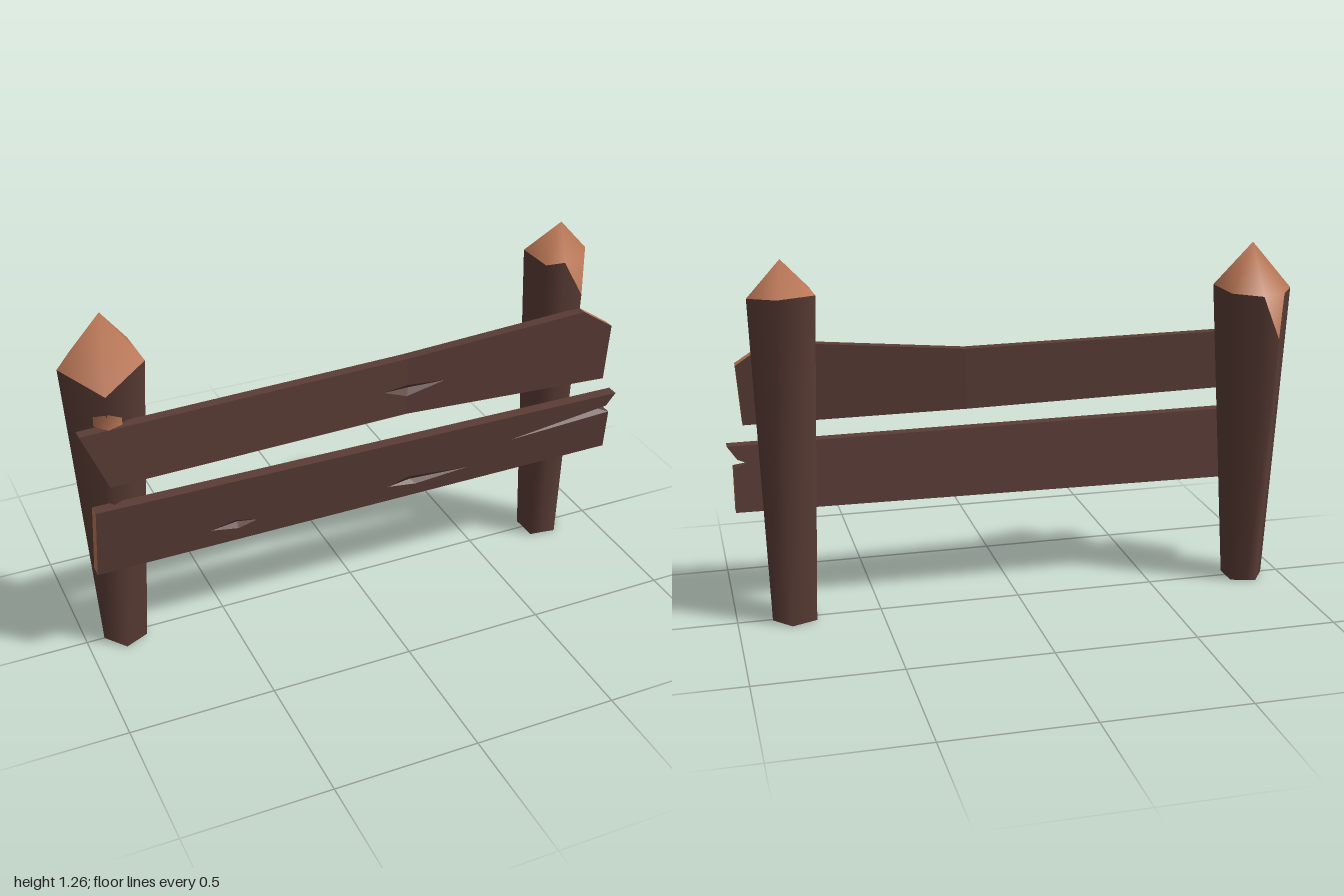
import * as THREE from 'three';

const bark = new THREE.MeshStandardMaterial({ color: 0x5a3c35 });
bark.name = 'darkBark';
const wood = new THREE.MeshStandardMaterial({ color: 0xba7756 });
wood.name = 'cutWood';

function makeMesh(name, points, index, material) {
  const g = new THREE.BufferGeometry();
  g.setAttribute('position', new THREE.Float32BufferAttribute(points.flat(), 3));
  if (index) g.setIndex(index);
  g.computeVertexNormals();
  const m = new THREE.Mesh(g, material);
  m.name = name;
  return m;
}

// Tapered post; ring corners are [x, z, topHeight, isChip], a chip corner is cut low
function makePost(name, ring, [cx, cz], taper, apex) {
  const n = ring.length;
  const top = ring.map(([x, z, y]) => [x, y, z]);
  const base = ring.map(([x, z]) => [cx + (x - cx) * taper, 0, cz + (z - cz) * taper]);
  const sides = [];
  const under = [];
  const tip = [];
  for (let i = 0; i < n; i++) {
    const j = (i + 1) % n;
    sides.push(i, j, n + j, i, n + j, n + i);
    under.push(n, j, i);
    if (ring[i][3]) {
      const h = (i + n - 1) % n;
      tip.push(h, i, j, h, j, n);
    } else if (!ring[j][3]) tip.push(i, j, n);
  }
  const post = new THREE.Group();
  post.name = name;
  post.add(
    makeMesh('postBark', [...base, ...top], sides, bark),
    makeMesh('postUnderside', [...base, [cx, 0, cz]], under, bark),
    makeMesh('pointedTip', [...top, apex], tip, wood)
  );
  return post;
}

// Plank from flat panels of [x, y, depth] points, placed on a front surface z = front(x, y)
function makePlank(name, { outline, woodEdges, panels, pits, backPanels, front, thickness }) {
  const faces = [];
  const ends = [];
  const f = ([x, y, d = 0]) => [x, y, front(x, y) - d];
  const b = ([x, y]) => [x, y, front(x, y) - thickness];
  const v2 = (ps) => ps.map(([x, y]) => new THREE.Vector2(x, y));

  function fill(contour, holes, place, facing) {
    const all = [contour, ...holes].flat();
    for (const t of THREE.ShapeUtils.triangulateShape(v2(contour), holes.map(v2))) {
      const [p, q, r] = t.map((i) => all[i]);
      const turn = (q[0] - p[0]) * (r[1] - p[1]) - (q[1] - p[1]) * (r[0] - p[0]);
      faces.push(...(turn * facing > 0 ? [p, q, r] : [p, r, q]).map(place));
    }
  }

  panels.forEach(({ contour, holes = [] }) => fill(contour, holes, f, 1));
  backPanels.forEach((p) => fill(p, [], b, -1));

  // Gouges sink to one deep point
  pits.forEach(({ ring, deep }) => ring.forEach((p, i) => {
    fill([p, ring[(i + 1) % ring.length], deep], [], f, 1);
  }));

  // Edge walls, with bare wood at the sawn ends
  outline.forEach((p, i) => {
    const q = outline[(i + 1) % outline.length];
    (woodEdges.includes(i) ? ends : faces).push(b(p), b(q), f(q), b(p), f(q), f(p));
  });

  const plank = new THREE.Group();
  plank.name = name;
  plank.add(makeMesh('plankBoard', faces, null, bark), makeMesh('plankEnds', ends, null, wood));
  return plank;
}

function upperPlank() {
  const [bl, bm, br, r, peak, tm, tl] = [
    [-0.9, 0.7], [0.17, 0.695], [0.94, 0.68], [0.955, 0.89], [0.84, 0.965], [0.17, 0.91], [-0.985, 0.91]
  ];
  const gouge = [[0.08, 0.8], [0.17, 0.765], [0.31, 0.8], [0.17, 0.808]];
  const [gl, gb, gr, gt] = gouge;
  return makePlank('upperPlank', {
    outline: [bl, bm, br, r, peak, tm, tl],
    woodEdges: [2, 3, 6],
    panels: [
      { contour: [bl, bm, gb, gl, gt, tm, tl] },
      { contour: [bm, br, r, peak, tm, gt, gr, gb] }
    ],
    pits: [{ ring: gouge, deep: [0.18, 0.79, 0.015] }],
    backPanels: [[bl, bm, tm, tl], [bm, br, r, peak, tm]],
    // The board bows backward at one point
    front: (x) => 0.1 + (x < 0.17 ? (0.17 - x) * 0.039 : (x - 0.17) * 0.051),
    thickness: 0.038
  });
}

function lowerPlank() {
  const notch = [0.93, 0.545, 0.028];
  const lip = [0.98, 0.53];
  const prong = [0.965, 0.56];
  const crack = [0.57, 0.508];
  const outline = [[-0.965, 0.36], [0.98, 0.375], lip, notch, prong, [0.998, 0.608], [-0.957, 0.617]];
  const gouges = [
    { ring: [[-0.57, 0.43], [-0.47, 0.412], [-0.4, 0.43], [-0.48, 0.45]], deep: [-0.47, 0.432, 0.015] },
    { ring: [[0.09, 0.43], [0.2, 0.415], [0.4, 0.432], [0.17, 0.455]], deep: [0.18, 0.432, 0.015] }
  ];
  return makePlank('lowerPlank', {
    outline,
    woodEdges: [1, 4, 6],
    panels: [
      { contour: outline.map((p) => (p === notch ? crack : p)), holes: gouges.map((g) => g.ring) },
      { contour: [crack, lip, notch] },
      { contour: [crack, notch, prong] }
    ],
    pits: gouges,
    backPanels: [outline],
    front: (x, y) => 0.12 + (y - 0.36) * 0.1,
    thickness: 0.043
  });
}

export function createModel() {
  const model = new THREE.Group();
  model.name = 'woodenFence';

  model.add(makePost('rightPost', [
    [-0.735, 0.07, 1.09], [-0.74, -0.1, 1.09],
    [-0.845, -0.133, 1.08], [-0.9, -0.15, 0.93, true], [-0.935, -0.098, 1.08],
    [-1, 0, 1.08], [-0.89, 0.145, 1.03]
  ], [-0.865, 0], 0.54, [-0.85, 1.25, 0]));

  model.add(makePost('leftPost', [
    [0.915, -0.01, 1.14], [0.825, -0.11, 1.15], [0.695, -0.06, 1.15], [0.7, 0.085, 1.15],
    [0.77, 0.093, 1.15], [0.84, 0.105, 1.02, true], [0.872, 0.055, 1.135]
  ], [0.805, 0], 0.68, [0.8, 1.263, 0.003]));

  // Bare wood chip folded over the front corner of the post
  model.add(makeMesh('postChip', [
    [-0.925, 0.91, 0.098], [-0.888, 0.91, 0.142], [-0.838, 0.91, 0.123],
    [-0.838, 0.935, 0.123], [-0.884, 0.967, 0.146], [-0.925, 0.945, 0.1]
  ], [0, 1, 4, 0, 4, 5, 1, 2, 3, 1, 3, 4], wood));

  model.add(upperPlank(), lowerPlank());
  return model;
}
